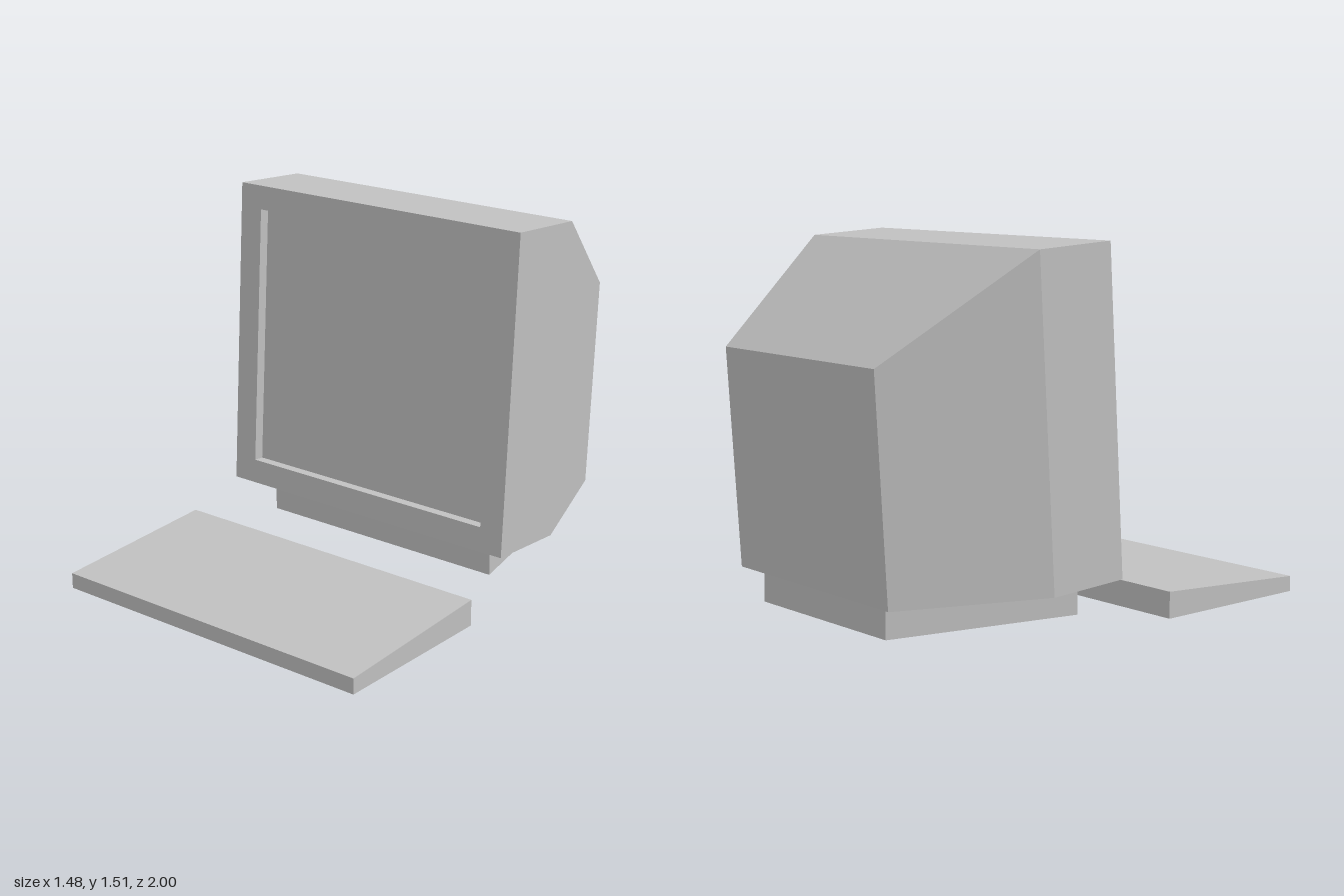
import * as THREE from 'three';

const grey = new THREE.MeshStandardMaterial({ color: 0xc0c0c0 });
grey.name = 'case grey';
grey.side = THREE.DoubleSide;

// Four corners as seen from the front: bottom left, bottom right, top right, top left
const frame = (cx, half, yLow, zLow, yHigh, zHigh) => [
  [cx - half, yLow, zLow], [cx + half, yLow, zLow],
  [cx + half, yHigh, zHigh], [cx - half, yHigh, zHigh],
];

// Flat-shaded mesh from four-cornered faces
function faceMesh(name, faces) {
  const points = faces.flatMap(([a, b, c, d]) => [a, b, c, a, c, d]);
  const geometry = new THREE.BufferGeometry();
  geometry.setAttribute('position', new THREE.Float32BufferAttribute(points.flat(), 3));
  geometry.computeVertexNormals();
  const mesh = new THREE.Mesh(geometry, grey);
  mesh.name = name;
  return mesh;
}

// Faces joining consecutive four-cornered rings
function bands(rings) {
  const faces = [];
  for (let r = 0; r + 1 < rings.length; r++) {
    for (let i = 0; i < 4; i++) {
      const j = (i + 1) % 4;
      faces.push([rings[r][i], rings[r + 1][i], rings[r + 1][j], rings[r][j]]);
    }
  }
  return faces;
}

// The monitor is turned and rolled very slightly
const skew = (ring) => ring.map(([x, y, z]) => [x, y + 0.003 * x, z + 0.0105 * x]);

export function createModel() {
  const model = new THREE.Group();
  model.name = 'computer';

  // Monitor: recessed screen, bezel, straight sides and tapering back
  const screen = skew(frame(-0.003, 0.608, 0.297, -0.022, 1.407, -0.089));
  const opening = skew(frame(-0.003, 0.608, 0.3, 0.0235, 1.41, -0.044));
  const front = skew(frame(-0.004, 0.717, 0.197, 0.03, 1.511, -0.05));
  const middle = skew(frame(-0.001, 0.717, 0.179, -0.325, 1.49, -0.405));
  const back = skew(frame(0.003, 0.491, 0.179, -0.94, 1.075, -0.995));
  const monitor = new THREE.Group();
  monitor.name = 'monitor';
  monitor.add(
    faceMesh('screen', [screen]),
    faceMesh('bezel', bands([screen, opening, front])),
    faceMesh('casing', [...bands([front, middle, back]), [...back].reverse()]),
  );
  model.add(monitor);

  // Stand: open tapered skirt under the monitor
  const skirt = (y) => [[-0.58, y, -0.085], [0.575, y, -0.085], [0.4, y, -0.89], [-0.4, y, -0.89]];
  model.add(faceMesh('stand', bands([skirt(0.19), skirt(0.045)])));

  // Keyboard: sloping wedge, open underneath
  const plan = (yFront, yBack) => [
    [-0.738, yFront, 1], [0.738, yFront, 1], [0.738, yBack, 0.27], [-0.738, yBack, 0.27],
  ];
  const top = plan(0.065, 0.11);
  model.add(faceMesh('keyboard', [top, ...bands([top, plan(0, 0)])]));

  return model;
}
